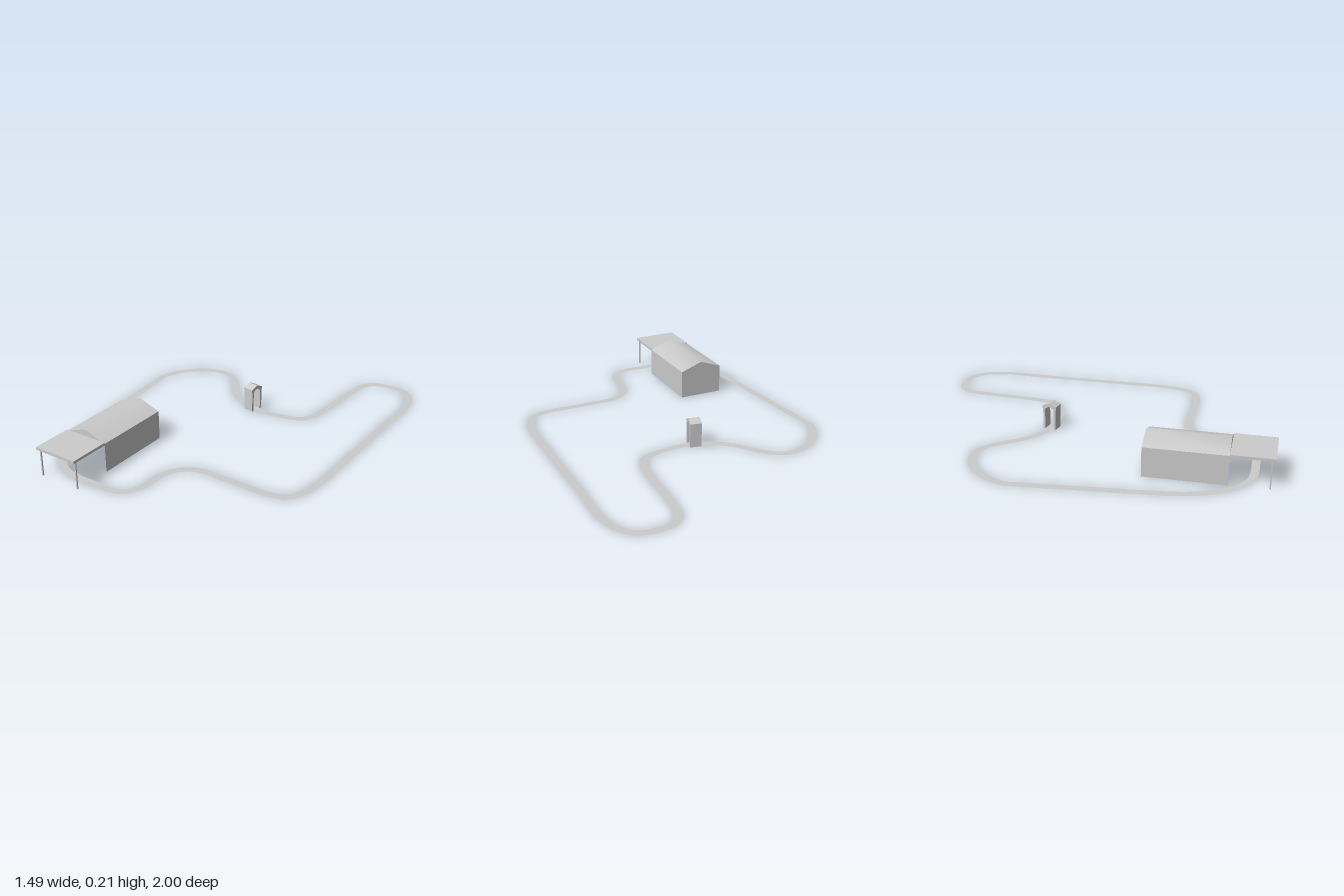
import * as THREE from 'three';

const grey = new THREE.MeshStandardMaterial({ color: 0xcccccc, side: THREE.DoubleSide });

function add(parent, name, geometry, x = 0, y = 0, z = 0) {
  const mesh = new THREE.Mesh(geometry, grey);
  mesh.name = name;
  mesh.position.set(x, y, z);
  parent.add(mesh);
  return mesh;
}

const shapeOf = (pts) => new THREE.Shape(pts.map(([x, y]) => new THREE.Vector2(x, y)));

// Flat ribbon of constant width that follows a curve on the ground
function ribbon(curve, width, steps) {
  const pos = [], index = [];
  for (let i = 0; i <= steps; i++) {
    const p = curve.getPointAt(i / steps), t = curve.getTangentAt(i / steps);
    const sx = t.z * width / 2, sz = -t.x * width / 2;
    pos.push(p.x + sx, 0, p.z + sz, p.x - sx, 0, p.z - sz);
    if (i < steps) {
      const a = 2 * i;
      index.push(a + 1, a + 3, a, a, a + 3, a + 2);
    }
  }
  const g = new THREE.BufferGeometry();
  g.setAttribute('position', new THREE.Float32BufferAttribute(pos, 3));
  g.setIndex(index);
  g.computeVertexNormals();
  return g;
}

// Centre line of the circuit as [x, z]
const path = [
  [-0.727, -0.325], [-0.692, 0.05], [-0.66, 0.39], [-0.637, 0.56], [-0.605, 0.67], [-0.55, 0.77],
  [-0.5, 0.83], [-0.42, 0.88], [-0.33, 0.895], [-0.22, 0.895], [-0.11, 0.895], [-0.035, 0.86],
  [0, 0.78], [0.01, 0.64], [0.05, 0.55], [0.14, 0.492], [0.25, 0.488], [0.4, 0.488], [0.55, 0.488],
  [0.65, 0.455], [0.695, 0.37], [0.715, 0.24], [0.717, 0], [0.717, -0.5], [0.72, -0.75],
  [0.69, -0.88], [0.63, -0.955], [0.53, -0.978], [0.43, -0.957], [0.38, -0.9], [0.362, -0.77],
  [0.345, -0.5], [0.325, -0.37], [0.29, -0.305], [0.21, -0.275], [0.08, -0.256], [-0.02, -0.268],
  [-0.13, -0.308], [-0.21, -0.375], [-0.3, -0.495], [-0.35, -0.545], [-0.405, -0.573],
  [-0.457, -0.579], [-0.555, -0.55], [-0.632, -0.492], [-0.695, -0.405], [-0.727, -0.325],
];

export function createModel() {
  const model = new THREE.Group();
  model.name = 'trackWithStation';

  const curve = new THREE.CatmullRomCurve3(path.map(([x, z]) => new THREE.Vector3(x, 0, z)));
  add(model, 'track', ribbon(curve, 0.044, 300));

  // Shed: open at the front and underneath
  const shed = new THREE.Group();
  shed.name = 'shed';
  shed.position.x = -0.373;
  model.add(shed);
  const half = 0.128, eave = 0.164, ridge = 0.21, back = 0.333, front = 0.773;
  const length = front - back, midZ = (front + back) / 2;
  for (const s of [-1, 1]) {
    const wall = new THREE.PlaneGeometry(length, eave).rotateY(s * Math.PI / 2);
    add(shed, s < 0 ? 'rightWall' : 'leftWall', wall, s * half, eave / 2, midZ);
  }
  const backWall = new THREE.ShapeGeometry(shapeOf(
    [[-half, 0], [half, 0], [half, eave], [0, ridge], [-half, eave]])).rotateY(Math.PI);
  add(shed, 'backWall', backWall, 0, 0, back);
  add(shed, 'frontGable', new THREE.ShapeGeometry(shapeOf(
    [[-half, eave], [half, eave], [0, ridge]])), 0, 0, front);

  // Roof: a sheet lifted along its middle, smoothly shaded over the ridge
  const roof = new THREE.PlaneGeometry(half * 2, length, 2, 1).rotateX(-Math.PI / 2);
  const p = roof.attributes.position;
  for (let i = 0; i < p.count; i++) {
    p.setY(i, eave + (ridge - eave) * (1 - Math.abs(p.getX(i)) / half));
  }
  roof.computeVertexNormals();
  add(shed, 'roof', roof, 0, 0, midZ);

  // Canopy on two thin posts
  add(shed, 'canopy', new THREE.BoxGeometry(half * 2, 0.015, 1 - front), 0, 0.1625, (1 + front) / 2);
  for (const s of [-1, 1]) {
    add(shed, 'canopyPost', new THREE.BoxGeometry(0.007, 0.156, 0.007), s * 0.118, 0.078, 0.98);
  }

  // Small gabled archway across the track
  const arch = new THREE.ExtrudeGeometry(shapeOf([
    [-0.038, 0], [-0.026, 0], [-0.026, 0.121], [0, 0.136], [0.026, 0.121], [0.026, 0],
    [0.038, 0], [0.038, 0.122], [0.041, 0.122], [0.041, 0.137], [0, 0.155],
    [-0.041, 0.137], [-0.041, 0.122], [-0.038, 0.122],
  ]), { depth: 0.064, bevelEnabled: false }).translate(0, 0, -0.032).rotateY(Math.PI / 2);
  add(model, 'archway', arch, -0.021, 0, -0.264).rotation.y = -0.19;

  return model;
}
